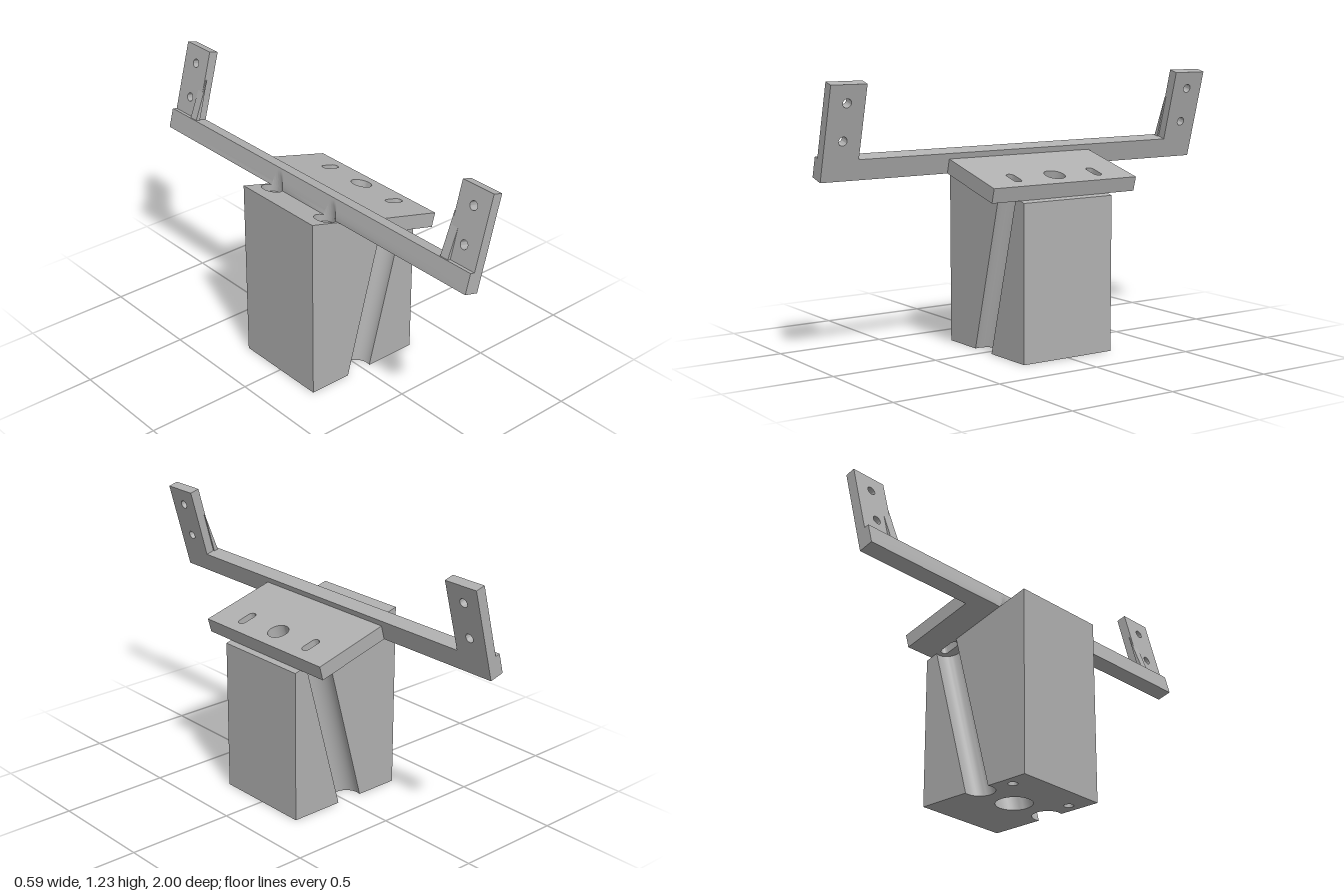
import * as THREE from 'three';
import { mergeGeometries, toCreasedNormals } from 'three/addons/utils/BufferGeometryUtils.js';

const TILT = Math.PI / 12, K = Math.tan(TILT), C = Math.cos(TILT), S = Math.sin(TILT);
const H0 = 0.781;                      // height of the sloping block top at x = 0
const PIVOT_X = -0.085;                // lower front edge of the crossbar
const BORE_X = -0.024;                 // bore centre at the base
const SCREW = { x: -0.18, z: 0.18, r: 0.022, head: 0.047, floor: 0.79 };

const grey = new THREE.MeshStandardMaterial({ color: 0xb0b0b0 });
grey.name = 'plain grey';

const V2 = (x, y) => new THREE.Vector2(x, y);
const crease = (g) => toCreasedNormals(g, 0.6);

function addMesh(parent, name, geometry) {
  const mesh = new THREE.Mesh(geometry, grey);
  mesh.name = name;
  parent.add(mesh);
  return mesh;
}

// Clockwise circle (hole winding); sx stretches it along x
function circle(cx, cy, r, sx = 1, n = 32) {
  return Array.from({ length: n }, (_, i) => {
    const a = -i / n * Math.PI * 2;
    return V2(cx + r * sx * Math.cos(a), cy + r * Math.sin(a));
  });
}

function shapeOf(outline, holes = []) {
  const shape = new THREE.Shape(outline);
  shape.holes = holes.map((h) => new THREE.Path(h));
  return shape;
}

function rect(x0, y0, x1, y1) {
  return [V2(x0, y0), V2(x1, y0), V2(x1, y1), V2(x0, y1)];
}

const extrude = (shape, depth, steps = 1) =>
  new THREE.ExtrudeGeometry(shape, { depth, steps, bevelEnabled: false });

// Side surface between two matching loops
function wall(lo, hi) {
  const pts = [];
  lo.forEach((a, i) => {
    const j = (i + 1) % lo.length;
    pts.push(a, lo[j], hi[j], a, hi[j], hi[i]);
  });
  return new THREE.BufferGeometry().setFromPoints(pts);
}

// Flat face as plain triangles
function cap(shape, rotation) {
  const g = new THREE.ShapeGeometry(shape).rotateX(rotation).toNonIndexed();
  g.deleteAttribute('uv');
  g.deleteAttribute('normal');
  return g;
}

// Block with sloping top, tilted bore and side grooves, upright screw holes
function blockGeometry() {
  const X = 0.295, Z = 0.235, r = 0.066, gz = 0.215;
  const a0 = Math.asin((Z - gz) / r), n = 24;
  const groove = Array.from({ length: n + 1 }, (_, i) => {
    const a = Math.PI + a0 - (Math.PI + 2 * a0) * i / n;
    return V2(BORE_X + r * Math.cos(a) / C, -gz + r * Math.sin(a));
  });
  const opposite = groove.map((p) => V2(2 * BORE_X - p.x, -p.y));
  const upright = (p) => V2(p.x, p.y);
  const tilted = (p) => V2(p.x + K * (H0 - K * p.x) / (1 + K * K), p.y);
  const loop = (move) => [
    V2(-X, -Z), ...groove.map(move), V2(X, -Z), V2(X, Z), ...opposite.map(move), V2(-X, Z),
  ];
  const bore = circle(BORE_X, 0, 0.081, 1 / C);
  const at = (y) => (p) => new THREE.Vector3(p.x, y, -p.y);
  const onTop = (p) => new THREE.Vector3(p.x, H0 - K * p.x, -p.y);

  const parts = [
    wall(loop(upright).map(at(0)), loop(tilted).map(onTop)),
    wall(bore.map(at(0)), bore.map(tilted).map(onTop)),
  ];
  const small = [], wide = [];
  for (const side of [-1, 1]) {
    const s = circle(SCREW.x, side * SCREW.z, SCREW.r);
    const w = circle(SCREW.x, side * SCREW.z, SCREW.head);
    small.push(s);
    wide.push(w);
    parts.push(wall(s.map(at(0)), s.map(at(SCREW.floor))));
    parts.push(wall(w.map(at(SCREW.floor)), w.map(onTop)));
    parts.push(cap(shapeOf(w, [s]), -Math.PI / 2).translate(0, SCREW.floor, 0));
  }
  const top = cap(shapeOf(loop(tilted), [bore.map(tilted), ...wide]), -Math.PI / 2);
  const pos = top.attributes.position;
  for (let i = 0; i < pos.count; i++) pos.setY(i, H0 - K * pos.getX(i));
  const base = cap(shapeOf(loop(upright), [bore, ...small]), Math.PI / 2);
  return crease(mergeGeometries([...parts, top, base]));
}

// Crossbar whose back is notched by the upright screw-head clearances
function crossbarGeometry() {
  const depth = 0.07, height = 0.093, half = 0.038;
  const notch = (z, y) => {
    const d = Math.abs(z) - SCREW.z;
    if (Math.abs(d) > half) return -depth;
    const x = SCREW.x + Math.sqrt(SCREW.head ** 2 - d * d);
    return Math.max(-depth, (x - PIVOT_X - y * S) / C);
  };
  const outline = [V2(-depth, -1), V2(0, -1), V2(0, 1), V2(-depth, 1)];
  for (const side of [1, -1]) {
    for (let i = 0; i <= 16; i++) {
      const z = side * SCREW.z + half * (1 - i / 8);
      outline.push(V2(notch(z, 0), z));
    }
  }
  const g = extrude(shapeOf(outline), height, 8).rotateX(-Math.PI / 2);
  const pos = g.attributes.position;
  for (let i = 0; i < pos.count; i++) {
    if (pos.getX(i) < -0.03) pos.setX(i, notch(pos.getZ(i), pos.getY(i)));
  }
  return crease(g);
}

// Mounting plate with a central hole and two slots
function plateGeometry() {
  const cx = 0.267, r = 0.02, run = 0.026;
  const slot = (z) => circle(cx, z, r).map((p) => V2(p.x + (p.x > cx ? run : -run), p.y));
  const shape = shapeOf(rect(0, -0.38, 0.365, 0.38),
    [circle(cx, 0, 0.048), slot(-0.215), slot(0.215)]);
  return crease(extrude(shape, 0.067).rotateX(-Math.PI / 2));
}

export function createModel() {
  const model = new THREE.Group();
  model.name = 'tiltedBracket';
  addMesh(model, 'block', blockGeometry());

  const bracket = new THREE.Group();
  bracket.name = 'bracket';
  bracket.position.set(PIVOT_X, H0 - K * PIVOT_X, 0);
  bracket.rotation.z = -TILT;
  model.add(bracket);
  addMesh(bracket, 'crossbar', crossbarGeometry());
  addMesh(bracket, 'mountingPlate', plateGeometry());

  // End arms with two holes each, and a thin rib behind the inner edge
  const armShape = shapeOf(rect(-0.085, 0.093, 0.085, 0.425),
    [circle(0, 0.178, 0.02), circle(0, 0.344, 0.02)]);
  const armGeo = crease(extrude(armShape, 0.047).rotateY(Math.PI / 2).translate(-0.047, 0, 0));
  const ribGeo = extrude(shapeOf([V2(-0.062, 0.093), V2(-0.0405, 0.093), V2(-0.0405, 0.29)]), 0.043)
    .translate(0, 0, -0.0215);
  for (const [label, side] of [['front', 1], ['back', -1]]) {
    addMesh(bracket, label + 'Arm', armGeo).position.z = side * 0.915;
    addMesh(bracket, label + 'Rib', ribGeo).position.z = side * 0.8435;
  }
  return model;
}
